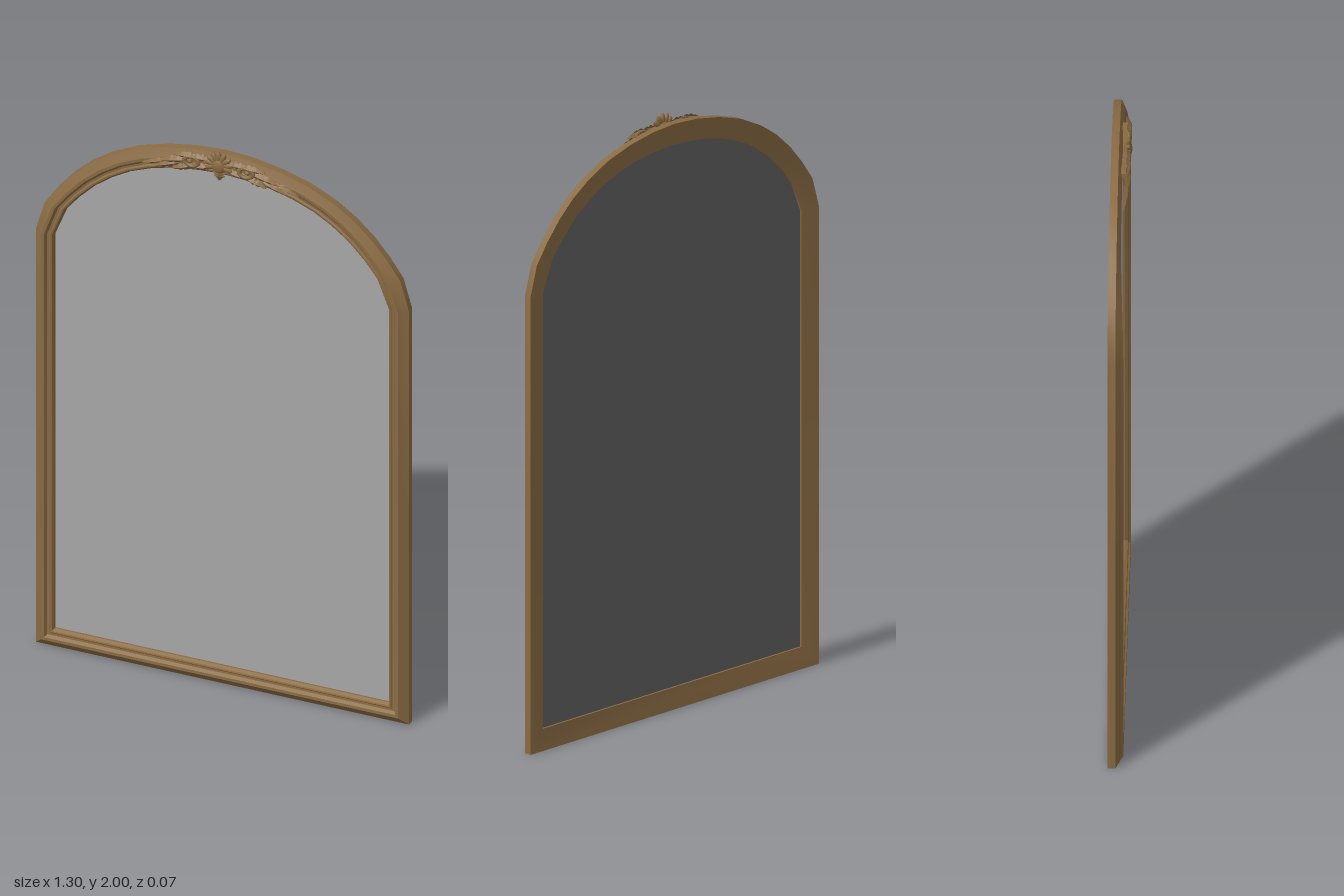
import * as THREE from 'three';
import { toCreasedNormals } from 'three/addons/utils/BufferGeometryUtils.js';

// Half outlines from the bottom corner to the crown, outer and inner edge paired
const OUTER = [[0.65, 0], [0.65, 0.8], [0.65, 1.54], [0.62, 1.645], [0.575, 1.71], [0.52, 1.775],
  [0.46, 1.83], [0.39, 1.878], [0.3, 1.922], [0.2, 1.952], [0.1, 1.97], [0, 1.977]];
const INNER = [[0.582, 0.07], [0.582, 0.8], [0.582, 1.54], [0.54, 1.645], [0.495, 1.7], [0.44, 1.755],
  [0.38, 1.8], [0.32, 1.835], [0.245, 1.865], [0.165, 1.886], [0.08, 1.897], [0, 1.902]];
// Moulding section: share of the width from outside to inside, then z
const SECTION = [[0, -0.035], [0, -0.01], [0.28, 0.006], [0.42, 0.015], [0.56, 0.014], [0.66, 0.003],
  [0.76, 0.002], [0.84, 0.008], [0.92, 0.006], [1, -0.004], [1, -0.024]];

const mirrorLoop = (half) => [...half, ...half.slice(0, -1).reverse().map(([x, y]) => [-x, y])];

function meshOf(name, geometry, material) {
  const mesh = new THREE.Mesh(geometry, material);
  mesh.name = name;
  return mesh;
}

function gridGeometry(rows, closed, crease) {
  const n = rows[0].length, index = [];
  const last = closed ? rows.length : rows.length - 1;
  for (let i = 0; i < last; i++) {
    const k = (i + 1) % rows.length;
    for (let j = 0; j < (closed ? n : n - 1); j++) {
      const m = (j + 1) % n;
      index.push(i * n + j, k * n + j, k * n + m, i * n + j, k * n + m, i * n + m);
    }
  }
  const g = new THREE.BufferGeometry();
  g.setAttribute('position', new THREE.Float32BufferAttribute(rows.flat(2), 3));
  g.setIndex(index);
  return toCreasedNormals(g, crease);
}

// Moulding swept round the opening, growing flatter towards the crown
function frameGeometry() {
  const outer = mirrorLoop(OUTER), inner = mirrorLoop(INNER);
  const rows = outer.map(([x, y], i) => {
    const flat = 1 - 0.5 * THREE.MathUtils.smoothstep(y, 1.54, 1.9);
    return SECTION.map(([t, z]) => [
      x + (inner[i][0] - x) * t,
      y + (inner[i][1] - y) * t,
      z > -0.01 ? -0.01 + (z + 0.01) * flat : z,
    ]);
  });
  return gridGeometry(rows, true, 0.45);
}

// Serrated leaf with a raised rib, growing along +x and curling towards +y
function leafGeometry(length, width, curl, rise) {
  const rows = [], steps = 12;
  for (let i = 0; i <= steps; i++) {
    const t = i / steps;
    const w = width * Math.sin(Math.PI * (0.12 + 0.88 * t)) * (i % 3 === 0 ? 0.65 : 1) + 0.0005;
    const y = curl * t * t, h = rise * Math.sin(Math.PI * (0.15 + 0.8 * t));
    rows.push([[-1, 0], [-0.5, 0.55], [0, 1], [0.5, 0.55], [1, 0]].map(
      ([s, k]) => [t * length, y + s * w, h * k]));
  }
  return gridGeometry(rows, false, 0.5);
}

export function createModel() {
  const model = new THREE.Group();
  model.name = 'archedMirror';
  const wood = new THREE.MeshStandardMaterial({ color: 0x8a6b43 });
  wood.name = 'antique gold wood';
  wood.side = THREE.DoubleSide;
  const silver = new THREE.MeshStandardMaterial({ color: 0xa8a8a8 });
  silver.name = 'silver glass';
  const backing = new THREE.MeshStandardMaterial({ color: 0x606060 });
  backing.name = 'dark backing';

  model.add(meshOf('frame', frameGeometry(), wood));

  // Mirror glass and its backing, one face each
  const pane = new THREE.ShapeGeometry(
    new THREE.Shape(mirrorLoop(INNER).map(([x, y]) => new THREE.Vector2(x, y))));
  const glass = meshOf('mirrorGlass', pane, silver);
  glass.position.z = -0.011;
  const back = meshOf('mirrorBacking', pane.clone().rotateY(Math.PI), backing);
  back.position.z = -0.017;
  model.add(glass, back);

  // Carved crest: a shell in the middle
  const crest = new THREE.Group();
  crest.name = 'crest';
  const boss = meshOf('shellBoss', new THREE.SphereGeometry(1, 16, 10), wood);
  boss.scale.set(0.026, 0.028, 0.014);
  boss.position.set(0, 1.945, 0.018);
  crest.add(boss);
  for (let i = 0; i < 9; i++) {
    const a = -0.35 + i * (Math.PI + 0.7) / 8;
    const lobe = meshOf('shellLobe', new THREE.SphereGeometry(1, 10, 8), wood);
    lobe.scale.set(0.022, 0.0095, 0.008);
    lobe.rotation.z = a;
    lobe.position.set(Math.cos(a) * 0.029, 1.949 + Math.sin(a) * 0.029, 0.02);
    crest.add(lobe);
  }
  const drop = meshOf('shellDrop', leafGeometry(0.045, 0.022, 0, 0.012), wood);
  drop.rotation.z = -Math.PI / 2;
  drop.position.set(0, 1.935, 0.016);
  crest.add(drop);

  // Leaves and scrolls on each side: x, y, z, angle, length, width, curl
  const LEAVES = [
    [0.03, 1.955, 0.016, 0.25, 0.08, 0.014, -0.02],
    [0.03, 1.935, 0.016, -0.35, 0.08, 0.013, 0.02],
    [0.07, 1.957, 0.017, 0.15, 0.09, 0.013, -0.02],
    [0.09, 1.925, 0.016, -0.3, 0.08, 0.013, -0.004],
    [0.11, 1.94, 0.015, -0.05, 0.1, 0.015, -0.02],
    [0.14, 1.922, 0.011, -0.25, 0.1, 0.013, -0.012],
    [0.18, 1.92, 0.007, -0.25, 0.1, 0.009, -0.008],
  ];
  for (const side of [1, -1]) {
    const spray = new THREE.Group();
    spray.name = side > 0 ? 'leftSpray' : 'rightSpray';
    spray.scale.x = side;
    for (const [x, y, z, angle, length, width, curl] of LEAVES) {
      const leaf = meshOf('leaf', leafGeometry(length, width, curl, 0.012), wood);
      leaf.position.set(x, y, z);
      leaf.rotation.z = angle;
      spray.add(leaf);
    }
    const scroll = meshOf('scroll', new THREE.TorusGeometry(0.017, 0.006, 8, 20), wood);
    scroll.scale.x = 1.4;
    scroll.position.set(0.095, 1.942, 0.022);
    const bud = meshOf('scrollBud', new THREE.SphereGeometry(0.008, 10, 8), wood);
    bud.position.set(0.1, 1.942, 0.02);
    spray.add(scroll, bud);
    crest.add(spray);
  }
  // Hidden stem tying the crest to the frame
  const stem = meshOf('crestStem', new THREE.BoxGeometry(0.3, 0.022, 0.016), wood);
  stem.position.set(0, 1.935, 0.006);
  crest.add(stem);
  model.add(crest);
  return model;
}
